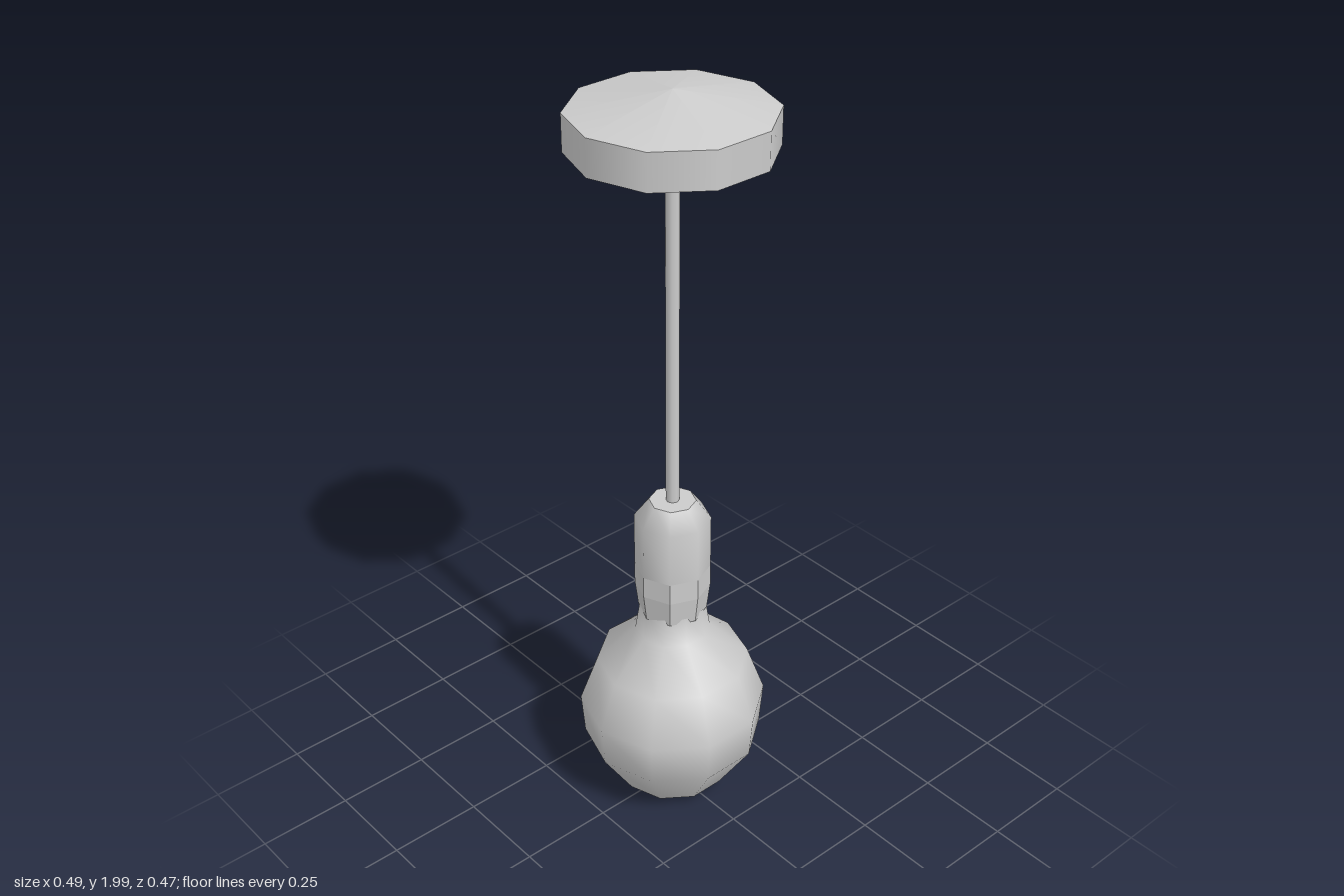
import * as THREE from 'three';
import { mergeGeometries } from 'three/addons/utils/BufferGeometryUtils.js';

const material = new THREE.MeshStandardMaterial({ color: 0xcccccc });

// Revolves each section ([radius, y] points, bottom to top) smoothly;
// the joints between sections stay sharp. A corner lies on the x axis.
function turned(name, sides, sections) {
  const parts = sections.map(({ points, flat }) => {
    const profile = points.map(([r, y]) => new THREE.Vector2(r, y));
    const lathe = new THREE.LatheGeometry(profile, sides, Math.PI / 2);
    const geometry = lathe.toNonIndexed();
    if (flat) geometry.computeVertexNormals();
    return geometry;
  });
  const mesh = new THREE.Mesh(mergeGeometries(parts), material);
  mesh.name = name;
  return mesh;
}

export function createModel() {
  const model = new THREE.Group();
  model.name = 'pendantLamp';

  // Ceiling canopy: flat underside, upright rim, shallow cone on top
  model.add(turned('canopy', 10, [
    { points: [[0, 1.86], [0.247, 1.86]] },
    { points: [[0.247, 1.86], [0.247, 1.953]] },
    { points: [[0.247, 1.953], [0, 2]] },
  ]));

  // Cord from the canopy down into the socket
  model.add(turned('cord', 8, [{ points: [[0.017, 0.9], [0.017, 1.87]] }]));

  // Socket: faceted skirt, smooth sleeve with a bevelled shoulder, flat cap
  model.add(turned('socket', 8, [
    { points: [[0.07, 0.58], [0.089, 0.585]] },
    { points: [[0.089, 0.585], [0.098, 0.66], [0.098, 0.72]], flat: true },
    { points: [[0.098, 0.72], [0.098, 0.868], [0.06, 0.918]] },
    { points: [[0.06, 0.918], [0, 0.918]] },
  ]));

  // Bulb: shallow cone underneath, rounded body narrowing to the neck
  model.add(turned('bulb', 10, [
    { points: [[0, 0.005], [0.148, 0.038]] },
    { points: [[0.148, 0.038], [0.238, 0.18], [0.247, 0.295], [0.2, 0.425],
      [0.098, 0.52], [0.086, 0.6]] },
  ]));

  // Stand the lamp on y = 0
  model.position.y = -0.0025;
  return model;
}
